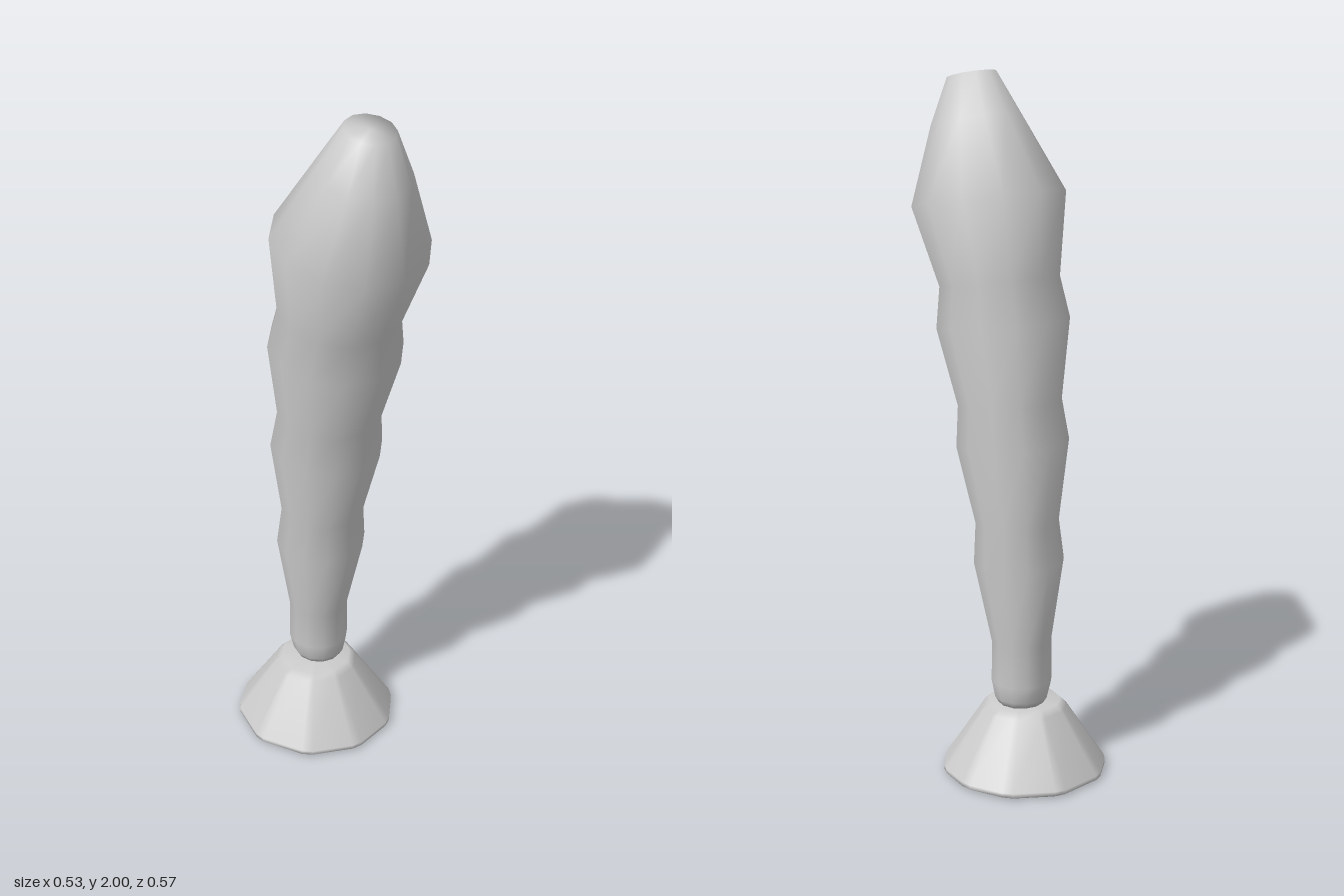
import * as THREE from 'three';

const material = new THREE.MeshStandardMaterial({ color: 0xcccccc });

// Skins a stack of rings (listed bottom to top) and closes both ends
function loft(rings, name) {
  const n = rings[0].length, pos = [], index = [];
  rings.forEach(ring => ring.forEach(p => pos.push(p.x, p.y, p.z)));
  for (let i = 0; i < rings.length - 1; i++) {
    for (let j = 0; j < n; j++) {
      const k = (j + 1) % n, a = i * n + j, b = i * n + k;
      index.push(a, a + n, b, b, a + n, b + n);
    }
  }
  const addCap = (ring, start, up) => {
    const c = new THREE.Vector3();
    ring.forEach(p => c.addScaledVector(p, 1 / n));
    const m = pos.length / 3;
    pos.push(c.x, c.y, c.z);
    for (let j = 0; j < n; j++) {
      const a = start + j, b = start + (j + 1) % n;
      if (up) index.push(m, b, a); else index.push(m, a, b);
    }
  };
  addCap(rings[0], 0, false);
  addCap(rings[rings.length - 1], (rings.length - 1) * n, true);
  const geo = new THREE.BufferGeometry();
  geo.setAttribute('position', new THREE.Float32BufferAttribute(pos, 3));
  geo.setIndex(index);
  geo.computeVertexNormals();
  const mesh = new THREE.Mesh(geo, material);
  mesh.name = name;
  return mesh;
}

// Leaning, bulging stem: [y, centre x, centre z, radius, slope along x, slope along z]
function makeStem() {
  const sections = [
    [0.212, -0.02, -0.068, 0.066, 0, 0],
    [0.23, -0.021, -0.068, 0.077, 0, 0],
    [0.28, -0.022, -0.068, 0.088, 0, 0],
    [0.40, -0.022, -0.067, 0.087, 0, -0.02],
    [0.635, -0.016, -0.056, 0.13, 0, -0.04],
    [0.75, -0.012, -0.05, 0.12, 0, -0.06],
    [0.975, -0.003, -0.031, 0.161, -0.03, -0.09],
    [1.09, 0.003, -0.018, 0.148, -0.03, -0.11],
    [1.31, 0.016, 0.011, 0.189, -0.05, -0.14],
    [1.425, 0.023, 0.028, 0.17, -0.06, -0.17],
    [1.65, 0.046, 0.067, 0.217, -0.08, -0.19],
    [1.86, 0.072, 0.118, 0.128, -0.1, -0.22],
    [1.983, 0.081, 0.14, 0.07, -0.1, -0.22],
  ];
  const sides = 12;
  return loft(sections.map(([y, cx, cz, r, sx, sz]) =>
    Array.from({ length: sides }, (_, j) => {
      const a = j / sides * Math.PI * 2;
      const dx = r * Math.cos(a), dz = r * Math.sin(a);
      return new THREE.Vector3(cx + dx, y + sx * dx + sz * dz, cz + dz);
    })), 'stem');
}

// Uneven ten-sided foot with narrow bevels on its corners and rims
function makeFoot() {
  const corners = [-175, -144, -105, -67.5, -34.6, -3, 31, 67, 105, 145];
  const profile = [[0, 0.226], [0.006, 0.236], [0.018, 0.236], [0.192, 0.122], [0.21, 0.103]];
  return loft(profile.map(([y, r]) => corners.flatMap(c => [-3.8, 3.8].map(d => {
    const a = THREE.MathUtils.degToRad(c + d);
    return new THREE.Vector3(-0.033 + r * Math.cos(a), y, -0.053 + r * Math.sin(a));
  }))), 'foot');
}

export function createModel() {
  const group = new THREE.Group();
  group.name = 'stemOnFoot';
  group.add(makeFoot(), makeStem());
  return group;
}
